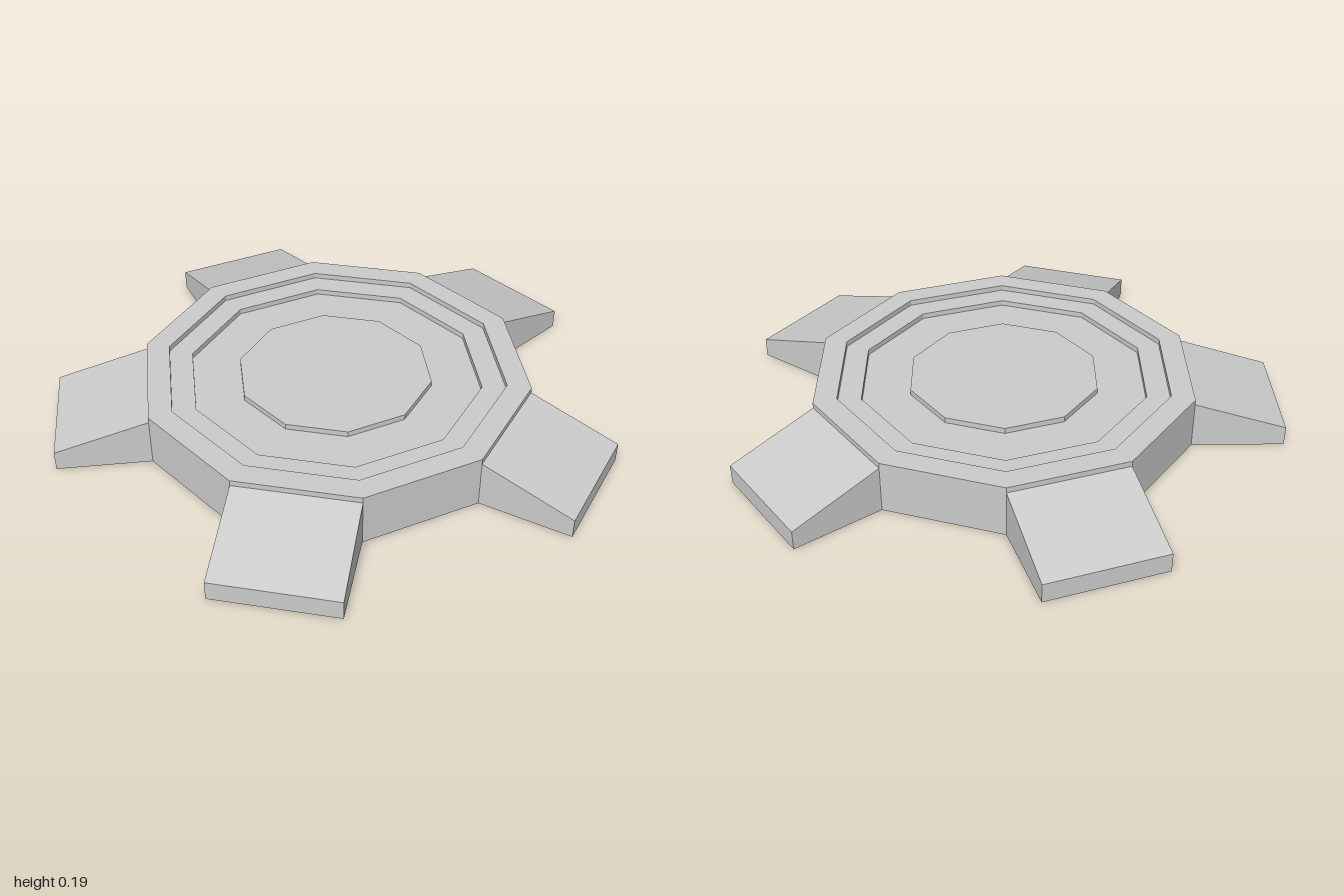
import * as THREE from 'three';

const SIDES = 10;
const RADIUS = 0.689;
const APOTHEM = RADIUS * Math.cos(Math.PI / SIDES);
const EDGE = 2 * RADIUS * Math.sin(Math.PI / SIDES);
const REACH = 0.981; // centre to the outer end of an arm

export function createModel() {
  const model = new THREE.Group();
  model.name = 'platform';
  const material = new THREE.MeshStandardMaterial({ color: 0xcccccc, flatShading: true });

  // Ten-sided hub: rim, two steps down, raised centre disc
  const profile = [
    [0, 0], [RADIUS, 0], [RADIUS, 0.19],
    [0.605, 0.19], [0.605, 0.17],
    [0.52, 0.17], [0.52, 0.15],
    [0.344, 0.15], [0.344, 0.17], [0, 0.17],
  ].map(([r, y]) => new THREE.Vector2(r, y));
  const hub = new THREE.Mesh(new THREE.LatheGeometry(profile, SIDES, Math.PI / 2), material);
  hub.name = 'hub';
  model.add(hub);

  // Sloping arms on every second side of the hub
  const side = new THREE.Shape([
    [APOTHEM, 0], [REACH, 0], [REACH, 0.07], [APOTHEM, 0.17],
  ].map(([x, y]) => new THREE.Vector2(x, y)));
  const armGeometry = new THREE.ExtrudeGeometry(side, { depth: EDGE, bevelEnabled: false });
  armGeometry.translate(0, 0, -EDGE / 2);
  for (let i = 0; i < 5; i++) {
    const arm = new THREE.Mesh(armGeometry, material);
    arm.name = `arm${i + 1}`;
    arm.rotation.y = Math.PI / 2 + (i * 2 * Math.PI) / 5;
    model.add(arm);
  }

  // Centre the five-armed outline on z
  model.children.forEach((part) => { part.position.z = 0.031; });
  return model;
}
